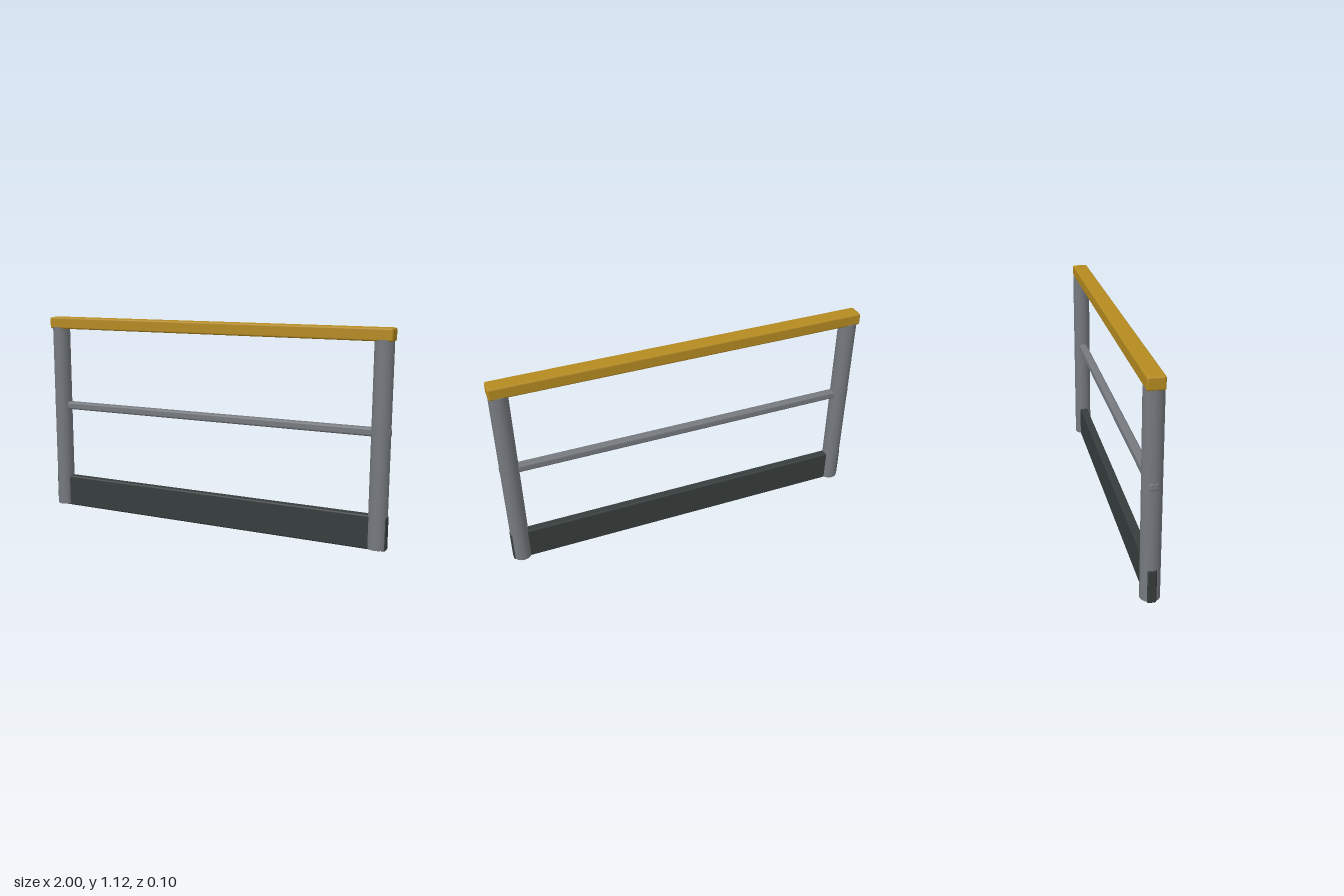
import * as THREE from 'three';
import { RoundedBoxGeometry } from 'three/addons/geometries/RoundedBoxGeometry.js';

function material(name, color) {
  const m = new THREE.MeshStandardMaterial({ color });
  m.name = name;
  return m;
}

export function createModel() {
  const yellow = material('safetyYellow', 0xb48a20);
  const steel = material('steelGrey', 0x75797e);
  const dark = material('darkGrey', 0x363d3c);

  const group = new THREE.Group();
  group.name = 'guardRail';

  // Horizontal bar with softened edges, spanning the full width
  function bar(name, bottom, top, depth, radius, mat) {
    const geometry = new RoundedBoxGeometry(2, top - bottom, depth, 2, radius);
    const mesh = new THREE.Mesh(geometry, mat);
    mesh.name = name;
    mesh.position.y = (bottom + top) / 2;
    group.add(mesh);
  }

  bar('topRail', 1.05, 1.115, 0.086, 0.01, yellow);
  bar('middleRail', 0.58, 0.624, 0.046, 0.012, steel);
  bar('kickPlate', 0, 0.18, 0.046, 0.01, dark);

  // Round end posts
  for (const side of [-1, 1]) {
    const post = new THREE.Mesh(new THREE.CylinderGeometry(0.049, 0.049, 1.05, 16), steel);
    post.name = side > 0 ? 'leftPost' : 'rightPost';
    post.position.set(side * 0.95, 0.533, 0);
    group.add(post);
  }

  return group;
}
